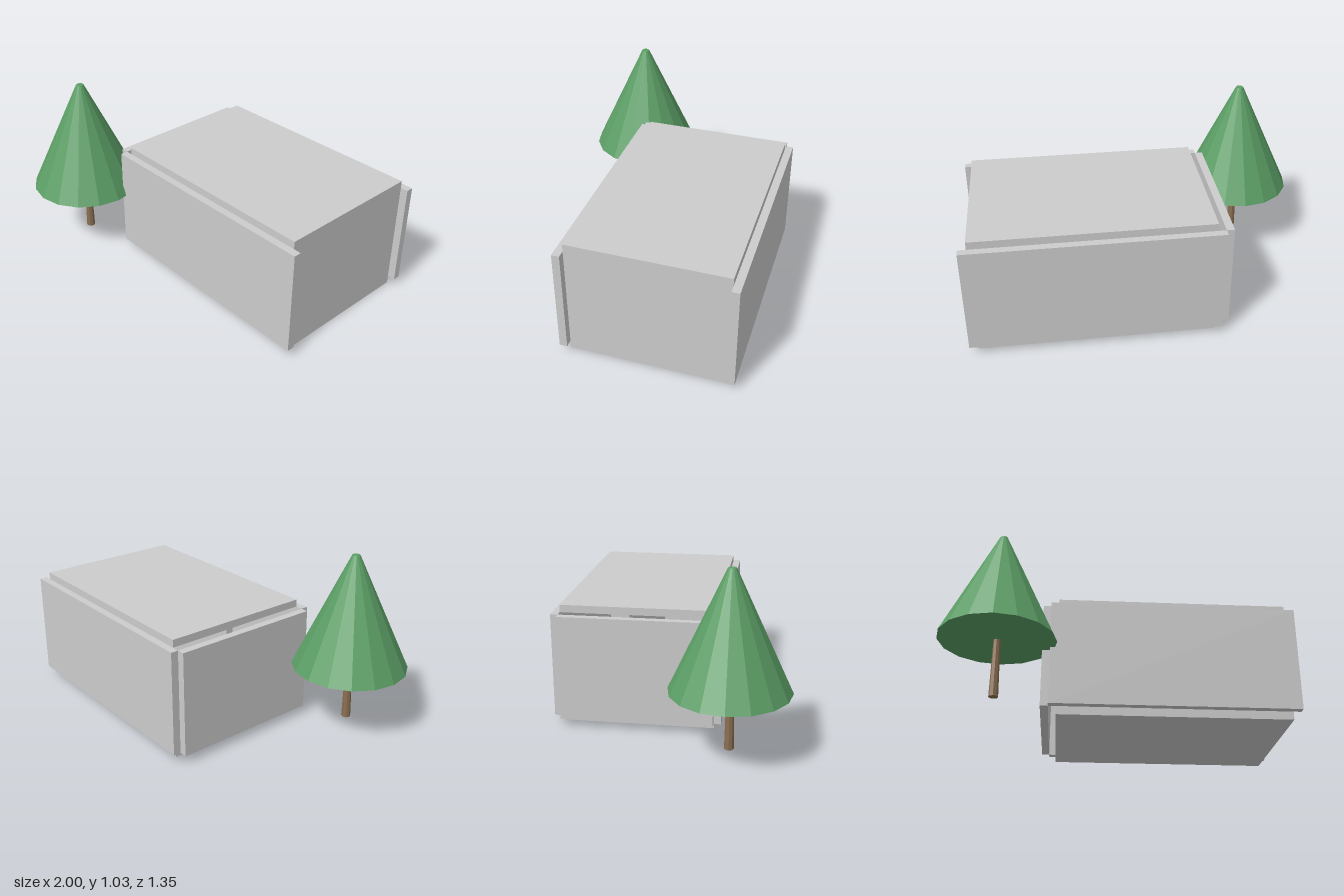
import * as THREE from 'three';

export function createModel() {
  const model = new THREE.Group();
  const material = (name, color) =>
    new THREE.MeshStandardMaterial({ name, color, flatShading: true });
  const grey = material('panel grey', 0xcccccc);
  const green = material('foliage green', 0x5c9f66);
  const brown = material('bark brown', 0x8b6f52);

  const room = new THREE.Group();
  room.name = 'room';
  model.add(room);

  // box given by its extents on each axis
  const slab = (name, [x0, x1], [y0, y1], [z0, z1]) => {
    const mesh = new THREE.Mesh(new THREE.BoxGeometry(x1 - x0, y1 - y0, z1 - z0), grey);
    mesh.position.set((x0 + x1) / 2, (y0 + y1) / 2, (z0 + z1) / 2);
    mesh.name = name;
    room.add(mesh);
  };

  // floor, end wall and roof as one C-shaped shell, open towards -x
  const profile = new THREE.Shape([
    [-0.348, 0], [0.952, 0], [0.952, 0.696], [-0.348, 0.696],
    [-0.348, 0.653], [0.908, 0.653], [0.908, 0.047], [-0.348, 0.047],
  ].map(([x, y]) => new THREE.Vector2(x, y)));
  const shell = new THREE.Mesh(
    new THREE.ExtrudeGeometry(profile, { depth: 0.87, bevelEnabled: false }), grey);
  shell.position.z = -0.632;
  shell.name = 'floorEndWallAndRoof';
  room.add(shell);

  // panels standing around the shell
  const height = [0.047, 0.653];
  slab('frontWall', [-0.391, 0.996], height, [0.238, 0.281]);
  slab('backWall', [-0.391, 0.996], height, [-0.675, -0.632]);
  slab('sideWall', [-0.435, -0.391], height, [-0.632, 0.238]);
  slab('partition', [-0.348, 0.908], height, [-0.28, -0.237]);

  // tree with a tapered trunk and a truncated cone crown
  const tree = new THREE.Group();
  tree.name = 'tree';
  tree.position.set(-0.675, 0, 0.348);
  const tapered = (name, top, bottom, y0, y1, sides, mat) => {
    const mesh = new THREE.Mesh(new THREE.CylinderGeometry(top, bottom, y1 - y0, sides), mat);
    mesh.position.y = (y0 + y1) / 2;
    mesh.name = name;
    tree.add(mesh);
  };
  tapered('trunk', 0.019, 0.026, 0.047, 0.376, 8, brown);
  tapered('crown', 0.022, 0.325, 0.376, 1.026, 16, green);
  model.add(tree);

  return model;
}
